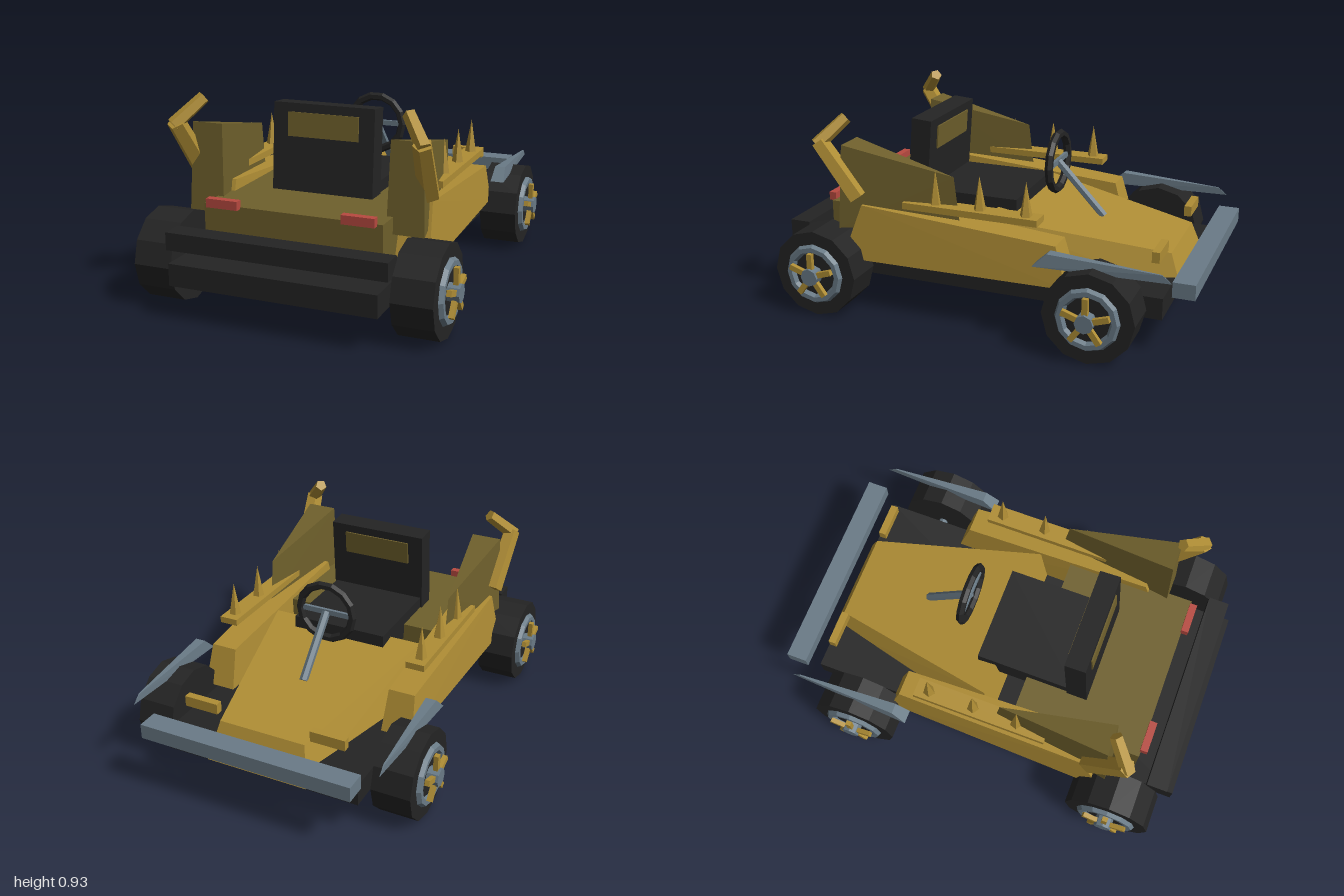
import * as THREE from 'three';
import { ConvexGeometry } from 'three/addons/geometries/ConvexGeometry.js';

const mat = (name, color) => {
  const m = new THREE.MeshStandardMaterial({ color, flatShading: true });
  m.name = name;
  return m;
};

export function createModel() {
  const gold = mat('gold', 0xb08e35), olive = mat('olive', 0x6f602c);
  const steel = mat('steel', 0x6a7b87), black = mat('black', 0x242424), red = mat('red', 0xb84a40);
  const kart = new THREE.Group();
  kart.name = 'kart';

  const add = (name, geo, material, parent = kart) => {
    const m = new THREE.Mesh(geo, material);
    m.name = name;
    parent.add(m);
    return m;
  };
  // Box given by its extents on each axis
  const box = (name, material, [x0, x1], [y0, y1], [z0, z1], parent) => {
    const m = add(name, new THREE.BoxGeometry(Math.abs(x1 - x0), y1 - y0, z1 - z0), material, parent);
    m.position.set((x0 + x1) / 2, (y0 + y1) / 2, (z0 + z1) / 2);
    return m;
  };
  // Faceted solid around a few corners, s mirrors it across x
  const solid = (name, material, corners, s = 1) =>
    add(name, new ConvexGeometry(corners.map(([x, y, z]) => new THREE.Vector3(x * s, y, z))), material);
  // Straight bar between two points
  const bar = (name, material, a, b, r0, r1, sides) => {
    const p = new THREE.Vector3(...a), q = new THREE.Vector3(...b), d = q.clone().sub(p);
    const m = add(name, new THREE.CylinderGeometry(r1, r0, d.length(), sides), material);
    m.position.copy(p).add(q).multiplyScalar(0.5);
    m.quaternion.setFromUnitVectors(new THREE.Vector3(0, 1, 0), d.normalize());
    return m;
  };

  // Chassis and bumpers
  box('floorPan', black, [-0.475, 0.475], [0.16, 0.26], [-0.855, 1]);
  box('rearBumper', black, [-0.505, 0.505], [0.305, 0.385], [0.865, 0.965]);
  box('frontBumper', steel, [-0.51, 0.51], [0.29, 0.36], [-1, -0.9]);
  box('rearDeck', olive, [-0.415, 0.415], [0.28, 0.475], [0.16, 0.785]);

  // Wedge-shaped nose
  const nose = [];
  for (const s of [1, -1]) nose.push(
    [0.385 * s, 0.485, 0], [0.21 * s, 0.365, -0.825],
    [0.245 * s, 0.19, -0.89], [0.46 * s, 0.24, 0.05]);
  solid('nose', gold, nose);

  // Seat with a panel set into the backrest
  box('seatBase', black, [-0.235, 0.235], [0.4, 0.53], [-0.09, 0.4]);
  const backrest = new THREE.Group();
  backrest.name = 'backrest';
  backrest.position.set(0, 0.67, 0.4);
  backrest.rotation.x = -0.08;
  kart.add(backrest);
  box('backrestPad', black, [-0.243, 0.243], [-0.2, 0.2], [-0.05, 0.05], backrest);
  box('backrestPanel', olive, [-0.17, 0.17], [0.05, 0.16], [-0.057, 0.057], backrest);

  // Steering
  const rim = add('steeringWheel', new THREE.TorusGeometry(0.135, 0.02, 6, 14), black);
  rim.position.set(0, 0.665, -0.213);
  box('steeringCrossbar', steel, [-0.12, 0.12], [0.655, 0.68], [-0.22, -0.205]);
  bar('steeringColumn', steel, [0, 0.665, -0.213], [0, 0.42, -0.445], 0.02, 0.02, 6);

  for (const s of [1, -1]) {
    // Side pod, wider at the bottom and the rear
    solid('sidePod', gold, [
      [0.39, 0.26, -0.44], [0.54, 0.26, -0.44], [0.4, 0.45, -0.385], [0.525, 0.45, -0.385],
      [0.375, 0.26, 0.65], [0.57, 0.26, 0.65], [0.385, 0.525, 0.55], [0.55, 0.525, 0.55]], s);

    // Rail with spikes
    box('spikeRail', gold, [0.44 * s, 0.53 * s], [0.527, 0.558], [-0.3, 0.35]);
    for (const z of [-0.235, -0.015, 0.2]) {
      const spike = add('spike', new THREE.ConeGeometry(0.033, 0.18, 5), gold);
      spike.position.set(0.487 * s, 0.625, z);
    }

    // Rear fin and bent horn
    solid('rearFin', olive, [
      [0.475, 0.69, 0.115], [0.475, 0.48, 0.09], [0.395, 0.8, 0.645], [0.54, 0.8, 0.645],
      [0.385, 0.4, 0.67], [0.555, 0.4, 0.67]], s);
    bar('hornBase', gold, [0.54 * s, 0.56, 0.57], [0.565 * s, 0.815, 0.745], 0.05, 0.042, 5);
    bar('hornTip', gold, [0.575 * s, 0.8, 0.75], [0.475 * s, 0.915, 0.65], 0.035, 0.03, 5);

    // Blade over the front wheel
    solid('frontBlade', steel, [
      [0.57, 0.39, -0.315], [0.635, 0.39, -0.315], [0.575, 0.452, -0.38], [0.625, 0.452, -0.38],
      [0.597, 0.425, -0.875], [0.603, 0.425, -0.875], [0.6, 0.39, -0.92]], s);

    // Lamps
    box('headLamp', gold, [0.23 * s, 0.395 * s], [0.385, 0.435], [-0.815, -0.78]);
    box('tailLamp', red, [0.24 * s, 0.39 * s], [0.467, 0.507], [0.78, 0.815]);

    // Wheels
    for (const z of [-0.585, 0.735]) {
      const wheel = new THREE.Group();
      wheel.name = z < 0 ? 'frontWheel' : 'rearWheel';
      wheel.position.set(0, 0.21, z);
      kart.add(wheel);
      const disc = (name, material, r, x0, x1, sides) => {
        const m = add(name, new THREE.CylinderGeometry(r, r, x1 - x0, sides), material, wheel);
        m.rotation.z = Math.PI / 2;
        m.position.x = s * (x0 + x1) / 2;
      };
      disc('axle', steel, 0.023, 0.4, 0.7, 8);
      disc('tyre', black, 0.207, 0.503, 0.685, 12);
      disc('hub', steel, 0.042, 0.68, 0.74, 8);
      const ring = add('rimRing', new THREE.TorusGeometry(0.124, 0.022, 6, 12), steel, wheel);
      ring.rotation.y = Math.PI / 2;
      ring.position.x = 0.685 * s;
      for (let i = 0; i < 5; i++) {
        const a = (i / 5) * Math.PI * 2;
        const spoke = add('spoke', new THREE.BoxGeometry(0.022, 0.085, 0.026), gold, wheel);
        spoke.position.set(0.717 * s, Math.cos(a) * 0.068, Math.sin(a) * 0.068);
        spoke.rotation.x = a;
      }
    }
  }
  return kart;
}
